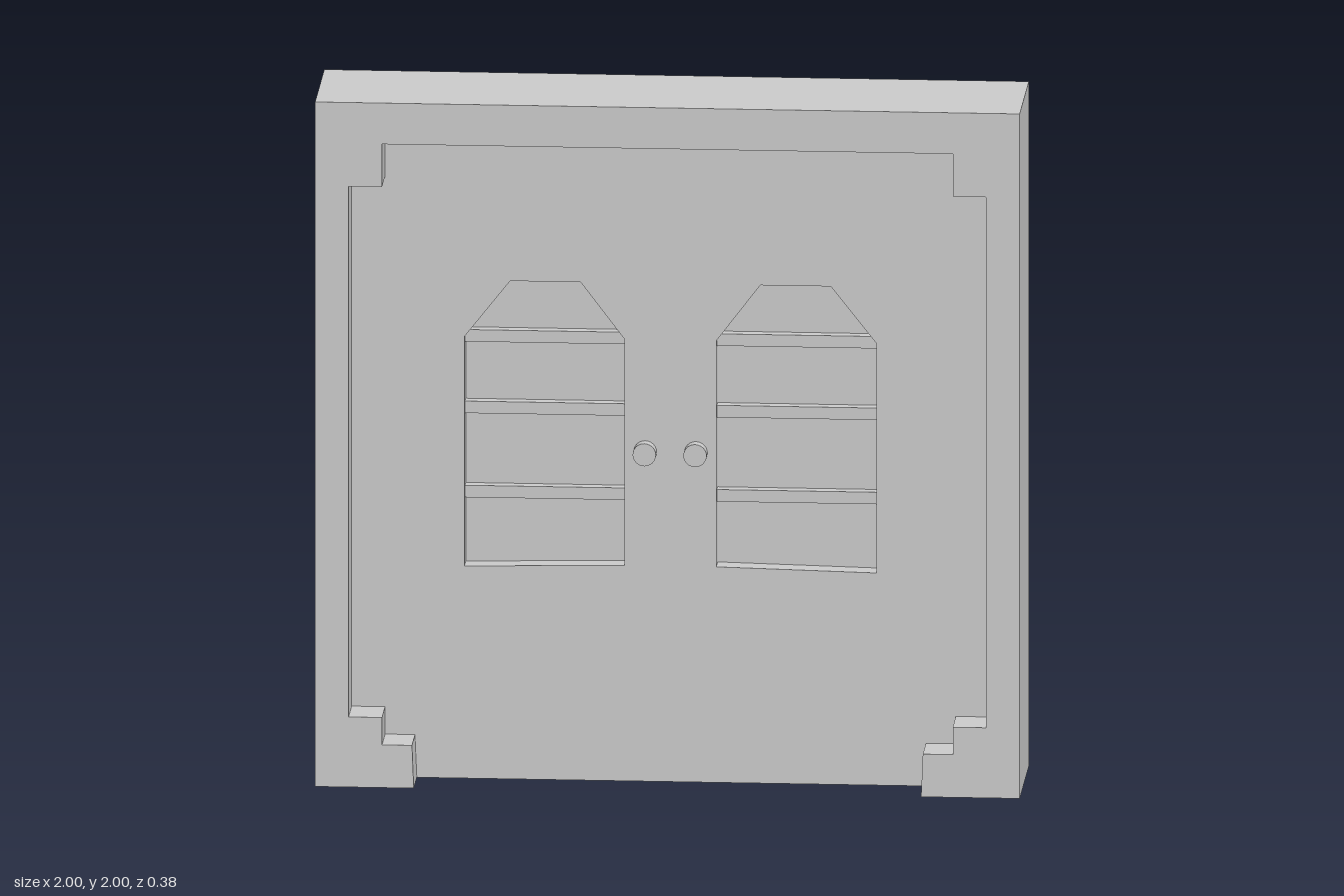
import * as THREE from 'three';

const FRAME_DEPTH = 0.375;
const DOOR_DEPTH = 0.125;
const material = new THREE.MeshStandardMaterial({ color: 0xcccccc, flatShading: true });

// Right half of the stepped doorway, from the floor up
const DOORWAY = [
  [0.72, 0], [0.725, 0.125], [0.81, 0.125], [0.81, 0.205],
  [0.905, 0.205], [0.905, 1.755], [0.81, 1.755], [0.81, 1.88],
];
// Window opening on the +x side, anticlockwise from its inner bottom corner
const WINDOW = [
  [0.13, 0.63], [0.585, 0.62], [0.585, 1.29],
  [0.455, 1.455], [0.255, 1.455], [0.13, 1.29],
];

const toPoints = (list, side = 1) => list.map(([x, y]) => new THREE.Vector2(x * side, y));

// Flat outline extruded evenly about z = 0
function slab(shape, depth) {
  const geometry = new THREE.ExtrudeGeometry(shape, { depth, bevelEnabled: false });
  geometry.translate(0, 0, -depth / 2);
  return geometry;
}

function add(parent, name, geometry, x = 0, y = 0, z = 0) {
  const mesh = new THREE.Mesh(geometry, material);
  mesh.name = name;
  mesh.position.set(x, y, z);
  parent.add(mesh);
  return mesh;
}

export function createModel() {
  const model = new THREE.Group();
  model.name = 'doubleDoor';

  const rightEdge = toPoints(DOORWAY);
  const leftEdge = toPoints(DOORWAY, -1);

  // Thick surround, open at the floor
  const frameShape = new THREE.Shape([
    ...toPoints([[1, 0], [1, 2], [-1, 2], [-1, 0]]),
    ...leftEdge,
    ...[...rightEdge].reverse(),
  ]);
  add(model, 'frame', slab(frameShape, FRAME_DEPTH));

  // Door panel filling the doorway, with two window openings
  const doorShape = new THREE.Shape([...rightEdge, ...[...leftEdge].reverse()]);
  for (const side of [1, -1]) doorShape.holes.push(new THREE.Path(toPoints(WINDOW, side)));
  add(model, 'doorPanel', slab(doorShape, DOOR_DEPTH));

  for (const side of [1, -1]) {
    const label = side > 0 ? 'left' : 'right';

    // Sunken pane with three crossbars showing on both faces
    const window = new THREE.Group();
    window.name = label + 'Window';
    add(window, 'pane', slab(new THREE.Shape(toPoints(WINDOW, side)), 0.01));
    for (const y of [0.832, 1.078, 1.287]) {
      add(window, 'crossbar', new THREE.BoxGeometry(0.455, 0.035, 0.075), side * 0.3575, y, 0);
    }
    model.add(window);

    // Round knobs on the front and the back
    for (const face of [1, -1]) {
      const knob = new THREE.CylinderGeometry(0.033, 0.033, 0.035, 24);
      knob.rotateX(Math.PI / 2);
      add(model, label + 'Knob', knob, side * 0.072, 0.962, face * (DOOR_DEPTH / 2 + 0.0175));
    }
  }

  // Fine upright seam near one edge of the door
  add(model, 'seam', new THREE.BoxGeometry(0.005, 1.65, DOOR_DEPTH + 0.006), -0.722, 0.865, 0);

  return model;
}
